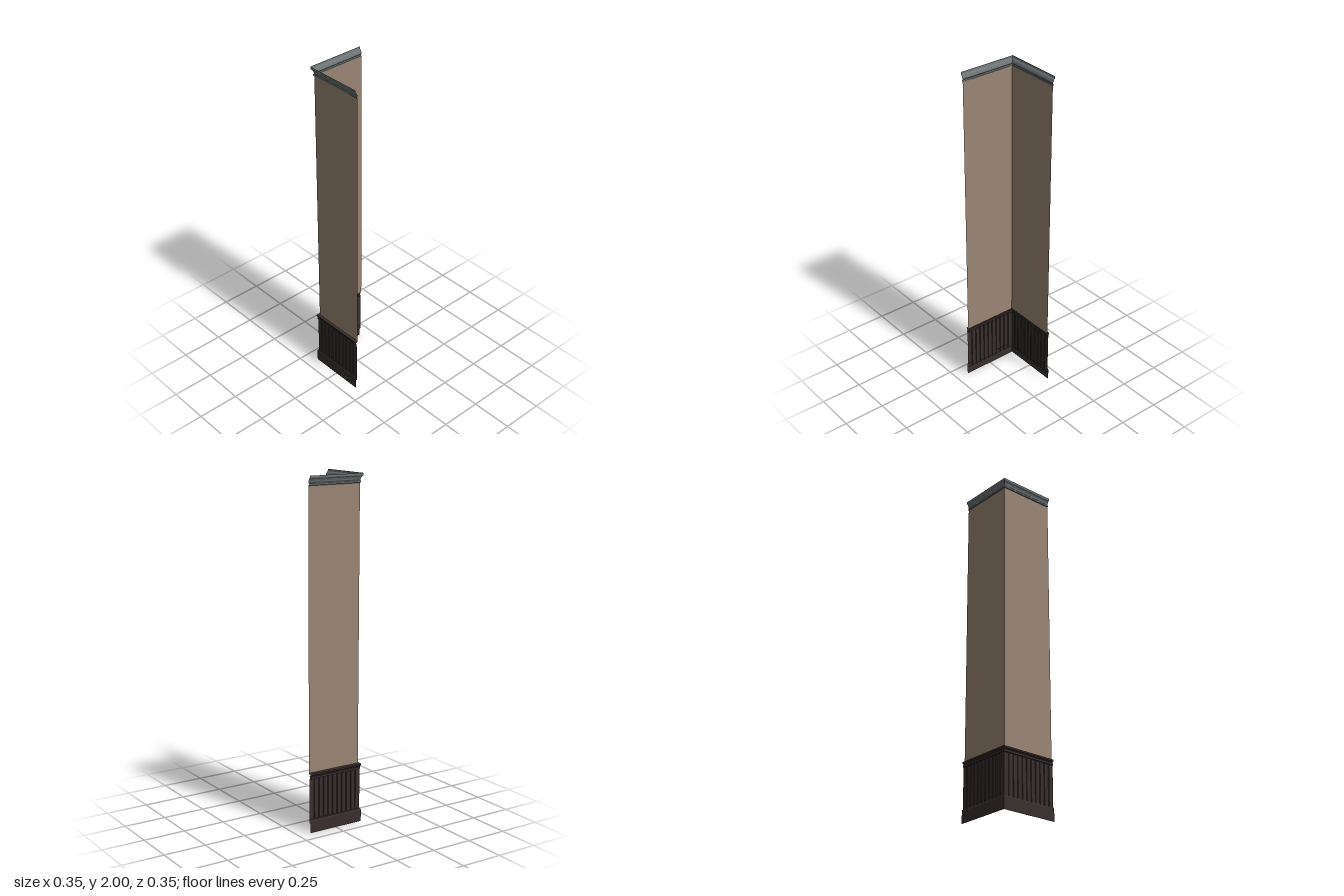
import * as THREE from 'three';

const WALL = 0.16; // distance of the wall planes from the centre
const END = 0.174; // free ends of both walls

const paint = (name, color) => {
  const m = new THREE.MeshStandardMaterial({ color, side: THREE.DoubleSide });
  m.name = name;
  return m;
};

// Flat-shaded open sheet from rows of points, bottom to top, each left to right seen from outside
function sheet(name, rows, material) {
  const pos = [];
  for (let r = 0; r < rows.length - 1; r++) {
    for (let i = 0; i < rows[r].length - 1; i++) {
      const a = rows[r][i], b = rows[r][i + 1], c = rows[r + 1][i + 1], d = rows[r + 1][i];
      pos.push(...a, ...b, ...c, ...a, ...c, ...d);
    }
  }
  const g = new THREE.BufferGeometry();
  g.setAttribute('position', new THREE.Float32BufferAttribute(pos, 3));
  g.computeVertexNormals();
  const mesh = new THREE.Mesh(g, material);
  mesh.name = name;
  return mesh;
}

// Sweep a [outward offset, height] profile around the mitred corner
function moulding(name, profile, material) {
  const rows = profile.map(([d, y]) => {
    const p = WALL + d;
    return [[-p, y, -END], [-p, y, p], [END, y, p]];
  });
  return sheet(name, rows, material);
}

// Vertical boards with V grooves on both walls, mirrored about the corner
function panelling(name, y0, y1, material) {
  const face = WALL + 0.007, groove = WALL + 0.003, pitch = 0.031, half = 0.003;
  const front = [[-face, face]];
  for (let i = 1; i <= 10; i++) {
    const x = -face + i * pitch;
    front.push([x - half, face], [x, groove], [x + half, face]);
  }
  front.push([END, face]);
  const left = front.slice(1).reverse().map(([x, z]) => [-z, -x]);
  const plan = [...left, ...front];
  return sheet(name, [y0, y1].map(y => plan.map(([x, z]) => [x, y, z])), material);
}

export function createModel() {
  const plaster = paint('tan plaster', 0x9a8674);
  const wood = paint('dark wood', 0x392e2e);
  const grey = paint('grey trim', 0x6e7577);

  const model = new THREE.Group();
  model.name = 'wallCorner';
  model.add(
    moulding('wall', [[0, 0.345], [0, 1.95]], plaster),
    // Lower wall trim
    moulding('baseboard', [[0.014, 0], [0.014, 0.07], [0.011, 0.078], [0.006, 0.08]], wood),
    panelling('panelling', 0.055, 0.32, wood),
    moulding('chairRail', [
      [0.006, 0.315], [0.01, 0.318], [0.01, 0.329], [0.007, 0.333],
      [0.014, 0.339], [0.014, 0.348], [0, 0.352],
    ], wood),
    // Crown moulding with a cove
    moulding('cornice', [
      [0, 1.946], [0.004, 1.949], [0.004, 1.958], [0.001, 1.962],
      [0.003, 1.971], [0.007, 1.98], [0.013, 1.987], [0.014, 1.991], [0.014, 2],
    ], grey),
  );
  return model;
}
